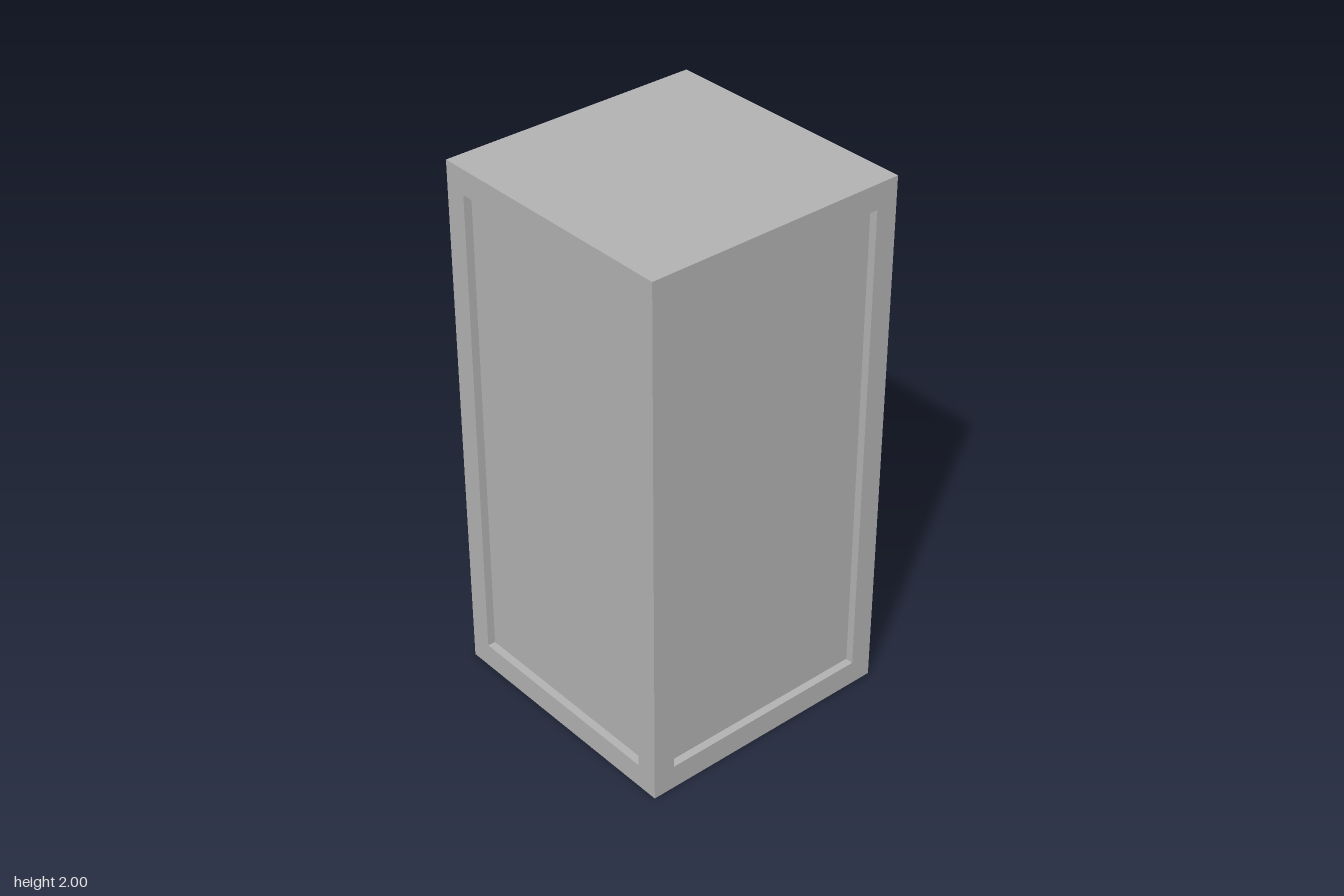
import * as THREE from 'three';
import { mergeGeometries } from 'three/addons/utils/BufferGeometryUtils.js';

const HALF = 0.5, HEIGHT = 2;            // outer block
const INNER = 0.416, LOW = 0.092, HIGH = 1.908; // recess opening
const DEPTH = 0.03;                      // recess depth

// Flat rim around the opening of one side
function rimGeometry() {
  const shape = new THREE.Shape();
  shape.moveTo(-HALF, 0).lineTo(HALF, 0).lineTo(HALF, HEIGHT).lineTo(-HALF, HEIGHT).closePath();
  const hole = new THREE.Path();
  hole.moveTo(-INNER, LOW).lineTo(-INNER, HIGH).lineTo(INNER, HIGH).lineTo(INNER, LOW).closePath();
  shape.holes.push(hole);
  return new THREE.ShapeGeometry(shape).translate(0, 0, HALF);
}

// Four narrow walls stepping from the rim back to the panel
function revealGeometry() {
  const w = INNER * 2, h = HIGH - LOW, mid = (LOW + HIGH) / 2, z = HALF - DEPTH / 2;
  const walls = [];
  for (const s of [-1, 1]) {
    walls.push(new THREE.PlaneGeometry(DEPTH, h).rotateY(-s * Math.PI / 2).translate(s * INNER, mid, z));
    walls.push(new THREE.PlaneGeometry(w, DEPTH).rotateX(s * Math.PI / 2).translate(0, s < 0 ? LOW : HIGH, z));
  }
  return mergeGeometries(walls);
}

export function createModel() {
  const model = new THREE.Group();
  model.name = 'panelledPillar';
  const grey = new THREE.MeshStandardMaterial({ color: 0xb2b2b2 });
  grey.name = 'grey';

  const add = (parent, name, geometry) => {
    const mesh = new THREE.Mesh(geometry, grey);
    mesh.name = name;
    parent.add(mesh);
  };

  // Four identical sides, each with a sunken panel
  const rim = rimGeometry(), reveal = revealGeometry();
  const panel = new THREE.PlaneGeometry(INNER * 2, HIGH - LOW)
    .translate(0, (LOW + HIGH) / 2, HALF - DEPTH);
  ['front', 'left', 'back', 'right'].forEach((name, i) => {
    const side = new THREE.Group();
    side.name = name + 'Side';
    add(side, 'rim', rim);
    add(side, 'reveal', reveal);
    add(side, 'panel', panel);
    side.rotation.y = i * Math.PI / 2;
    model.add(side);
  });

  // Plain top and bottom
  add(model, 'top', new THREE.PlaneGeometry(1, 1).rotateX(-Math.PI / 2).translate(0, HEIGHT, 0));
  add(model, 'bottom', new THREE.PlaneGeometry(1, 1).rotateX(Math.PI / 2));
  return model;
}
